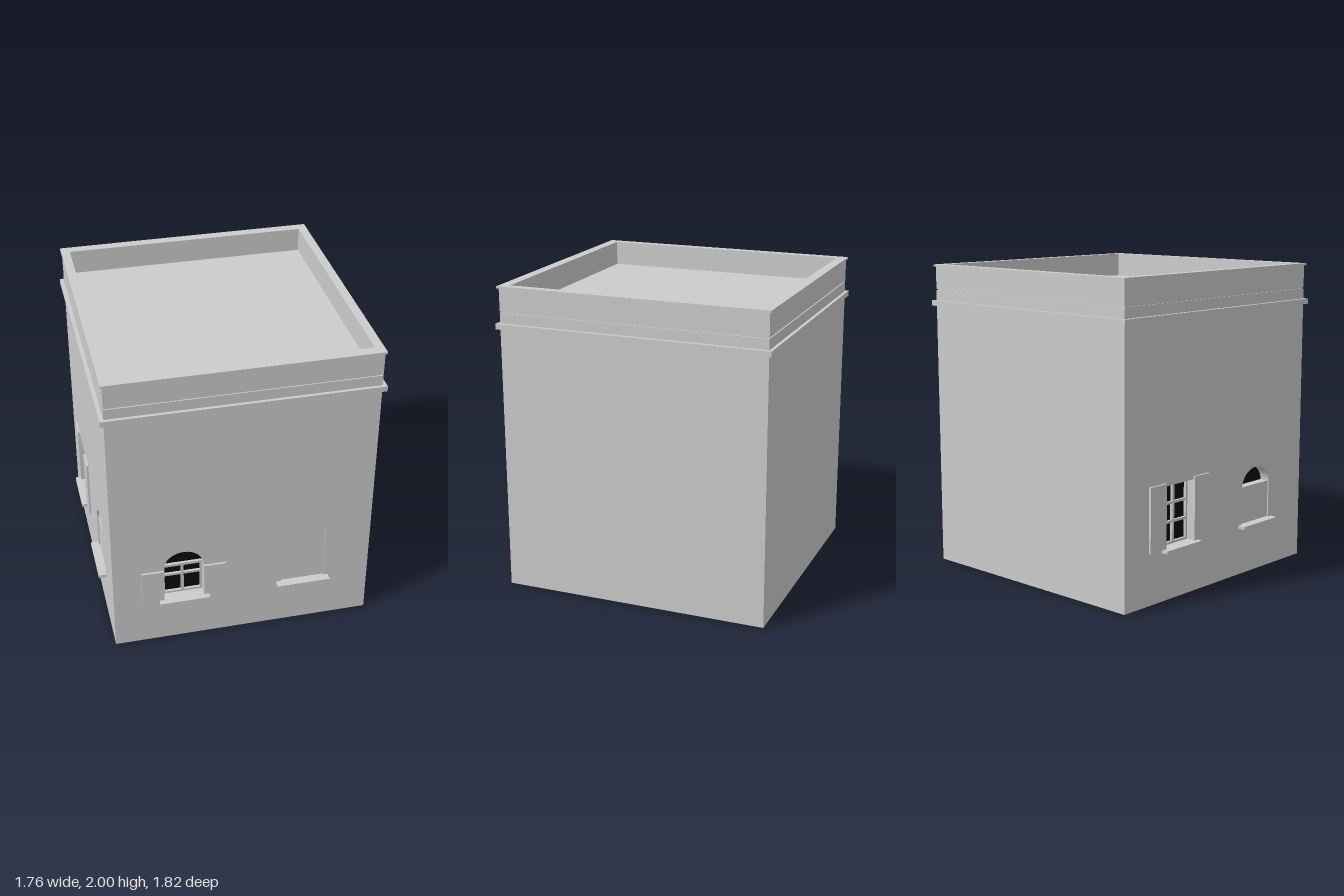
import * as THREE from 'three';

export function createModel() {
  const stone = new THREE.MeshStandardMaterial({ color: 0xcccccc });
  stone.name = 'pale grey plaster';
  const dark = new THREE.MeshStandardMaterial({ color: 0x0c0c0c });
  dark.name = 'dark glass';

  const root = new THREE.Group();
  root.name = 'building';
  const CX = 0.0115, CZ = -0.0135; // centre of the block
  const HX = 0.845, HZ = 0.875;    // half sizes of the walls
  const T = 0.07;                  // depth of the window reveals
  const TOP = 1.832;

  const add = (parent, name, geo, mat = stone) => {
    const m = new THREE.Mesh(geo, mat);
    m.name = name;
    parent.add(m);
    return m;
  };
  // box given by its limits
  const box = (parent, name, x0, x1, y0, y1, z0, z1, mat) => {
    const m = add(parent, name, new THREE.BoxGeometry(x1 - x0, y1 - y0, z1 - z0), mat);
    m.position.set((x0 + x1) / 2, (y0 + y1) / 2, (z0 + z1) / 2);
    return m;
  };
  const tier = (name, hx, hz, y0, y1) =>
    box(root, name, CX - hx, CX + hx, y0, y1, CZ - hz, CZ + hz);
  const rect = (P, x0, x1, y0, y1) => {
    const p = new P();
    p.moveTo(x0, y0);
    p.lineTo(x1, y0);
    p.lineTo(x1, y1);
    p.lineTo(x0, y1);
    p.closePath();
    return p;
  };
  // hollow square course lying flat
  const ring = (name, hx, hz, ix, iz, y0, y1) => {
    const s = rect(THREE.Shape, -hx, hx, -hz, hz);
    s.holes.push(rect(THREE.Path, -ix, ix, -iz, iz));
    const g = new THREE.ExtrudeGeometry(s, { depth: y1 - y0, bevelEnabled: false });
    g.rotateX(-Math.PI / 2);
    add(root, name, g).position.set(CX, y0, CZ);
  };

  // window opening outline, square or with a round head
  const opening = (P, w) => {
    const x0 = w.u - w.width / 2, x1 = w.u + w.width / 2;
    if (!w.arched) return rect(P, x0, x1, 0.33, w.top);
    const p = new P();
    p.moveTo(x0, 0.33);
    p.lineTo(x1, 0.33);
    p.lineTo(x1, 0.57);
    p.absellipse(w.u, 0.57, w.width / 2, w.top - 0.57, 0, Math.PI, false, 0);
    p.closePath();
    return p;
  };

  // contents of one opening, in wall space: z = 0 is the outer wall face
  const buildWindow = (wall, w) => {
    const g = new THREE.Group();
    g.name = w.name;
    wall.add(g);
    const x0 = w.u - w.width / 2, x1 = w.u + w.width / 2;
    const sh = w.arched ? 0.565 : w.top; // shutter height
    const half = w.width / 2 + 0.0325;
    box(g, 'sill', w.u - half, w.u + half, 0.31, 0.33, -T + 0.002, 0.05);
    const glass = add(g, 'glass', new THREE.ShapeGeometry(opening(THREE.Shape, w), 8), dark);
    glass.position.z = -T + 0.004;
    if (w.closed) {
      box(g, 'closedShutters', x0, x1, 0.333, sh, -0.03, -0.008);
      if (w.arched) box(g, 'headRail', x0, x1, sh, sh + 0.012, -T + 0.004, -0.008);
      return;
    }
    // frame, glazing bars and open shutters
    const f = 0.014, zb = -T + 0.004, zf = -T + 0.022;
    box(g, 'frameLeft', x0, x0 + f, 0.33, sh, zb, zf);
    box(g, 'frameRight', x1 - f, x1, 0.33, sh, zb, zf);
    box(g, 'frameBottom', x0, x1, 0.33, 0.345, zb, zf);
    box(g, 'frameTop', x0, x1, sh - 0.018, sh, zb, zf);
    box(g, 'mullion', w.u - 0.009, w.u + 0.009, 0.33, sh, zb, zf);
    for (const y of w.bars) box(g, 'glazingBar', x0, x1, y - 0.008, y + 0.008, zb, zf - 0.002);
    for (const s of [-1, 1]) {
      const a = w.u + s * w.width / 2, b = a + s * 0.145;
      box(g, 'openShutter', Math.min(a, b), Math.max(a, b), 0.33, w.arched ? 0.565 : 0.74, 0, 0.014);
    }
  };

  // wall slab with openings cut through it
  const buildWall = (name, u0, u1, windows) => {
    const g = new THREE.Group();
    g.name = name;
    const s = rect(THREE.Shape, u0, u1, 0, TOP);
    windows.forEach(w => s.holes.push(opening(THREE.Path, w)));
    const geo = new THREE.ExtrudeGeometry(s, { depth: T, bevelEnabled: false, curveSegments: 8 });
    geo.translate(0, 0, -T);
    add(g, 'wallFace', geo);
    windows.forEach(w => buildWindow(g, w));
    root.add(g);
    return g;
  };

  // solid core behind the two windowed walls
  box(root, 'core', CX - HX + T, CX + HX, 0, TOP, CZ - HZ, CZ + HZ - T);

  const front = buildWall('frontWall', CX - HX, CX + HX, [
    { name: 'archedWindow', u: -0.376, width: 0.26, arched: true, top: 0.695, bars: [0.48] },
    { name: 'shutteredWindow', u: 0.413, width: 0.285, top: 0.72, closed: true },
  ]);
  front.position.z = CZ + HZ;

  const side = buildWall('sideWall', CZ - HZ, CZ + HZ - T, [
    { name: 'tallWindow', u: -0.395, width: 0.265, top: 0.72, bars: [0.47, 0.59] },
    { name: 'archedShutteredWindow', u: 0.373, width: 0.285, arched: true, top: 0.695, closed: true },
  ]);
  side.rotation.y = -Math.PI / 2;
  side.position.x = CX - HX;

  // string course, shadow gap, parapet and coping
  tier('stringCourse', HX + 0.025, HZ + 0.021, 1.73, 1.765);
  tier('roofDeck', HX - 0.008, HZ - 0.008, 1.825, 1.84);
  ring('parapet', HX, HZ, 0.7975, 0.819, 1.839, 1.986);
  ring('coping', HX + 0.01, HZ + 0.011, 0.7975, 0.819, 1.986, 2);
  return root;
}
